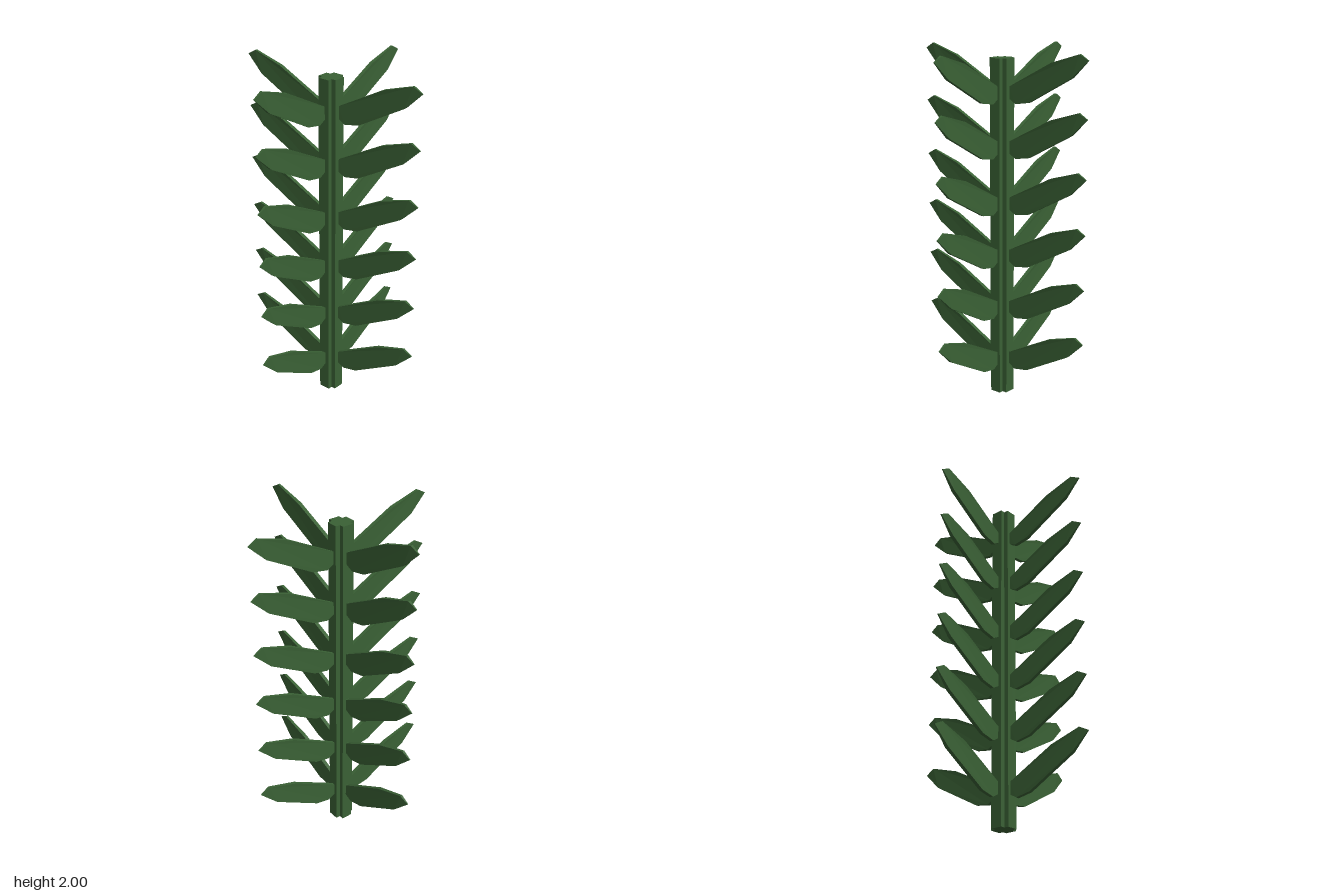
import * as THREE from 'three';

const material = new THREE.MeshStandardMaterial({ color: 0x3a6135, flatShading: true });

// Upward-slanting leaf slab in the xy plane, thinning towards its tip
function leafGeometry() {
  const outline = [
    [0.03, 0.2], [0.06, 0.178], [0.1, 0.155], [0.19, 0.17], [0.475, 0.325],
    [0.575, 0.42], [0.52, 0.45], [0.34, 0.395], [0.06, 0.25], [0.03, 0.25],
  ];
  const shape = new THREE.Shape(outline.map(([x, y]) => new THREE.Vector2(x, y)));
  const geo = new THREE.ExtrudeGeometry(shape, { depth: 0.022, bevelEnabled: false });
  geo.translate(0, 0, -0.011);
  const pos = geo.attributes.position;
  for (let i = 0; i < pos.count; i++) {
    const t = THREE.MathUtils.clamp((pos.getX(i) - 0.475) / 0.1, 0, 1);
    pos.setZ(i, pos.getZ(i) * (1 - 0.75 * t));
  }
  geo.computeVertexNormals();
  return geo;
}

// Stem with a plus-shaped section
function stemGeometry() {
  const a = 0.033, b = 0.06;
  const section = [
    [a, b], [-a, b], [-a, a], [-b, a], [-b, -a], [-a, -a],
    [-a, -b], [a, -b], [a, -a], [b, -a], [b, a], [a, a],
  ];
  const shape = new THREE.Shape(section.map(([x, y]) => new THREE.Vector2(x, y)));
  const geo = new THREE.ExtrudeGeometry(shape, { depth: 1.95, bevelEnabled: false });
  return geo.rotateX(-Math.PI / 2);
}

export function createModel() {
  const model = new THREE.Group();
  model.name = 'plant';

  const stem = new THREE.Mesh(stemGeometry(), material);
  stem.name = 'stem';
  stem.position.set(0.003, 0, 0.002);
  model.add(stem);

  // Whorls of four leaves; the sideways pair is turned slightly
  const leaf = leafGeometry();
  const turn = 0.06;
  const angles = [turn, Math.PI / 2, Math.PI + turn, -Math.PI / 2];
  [0, 0.314, 0.623, 0.928, 1.247, 1.55].forEach((y, level) => {
    const whorl = new THREE.Group();
    whorl.name = `leafWhorl${level + 1}`;
    whorl.position.y = y;
    for (const angle of angles) {
      const mesh = new THREE.Mesh(leaf, material);
      mesh.name = 'leaf';
      mesh.rotation.y = angle;
      whorl.add(mesh);
    }
    model.add(whorl);
  });
  return model;
}
